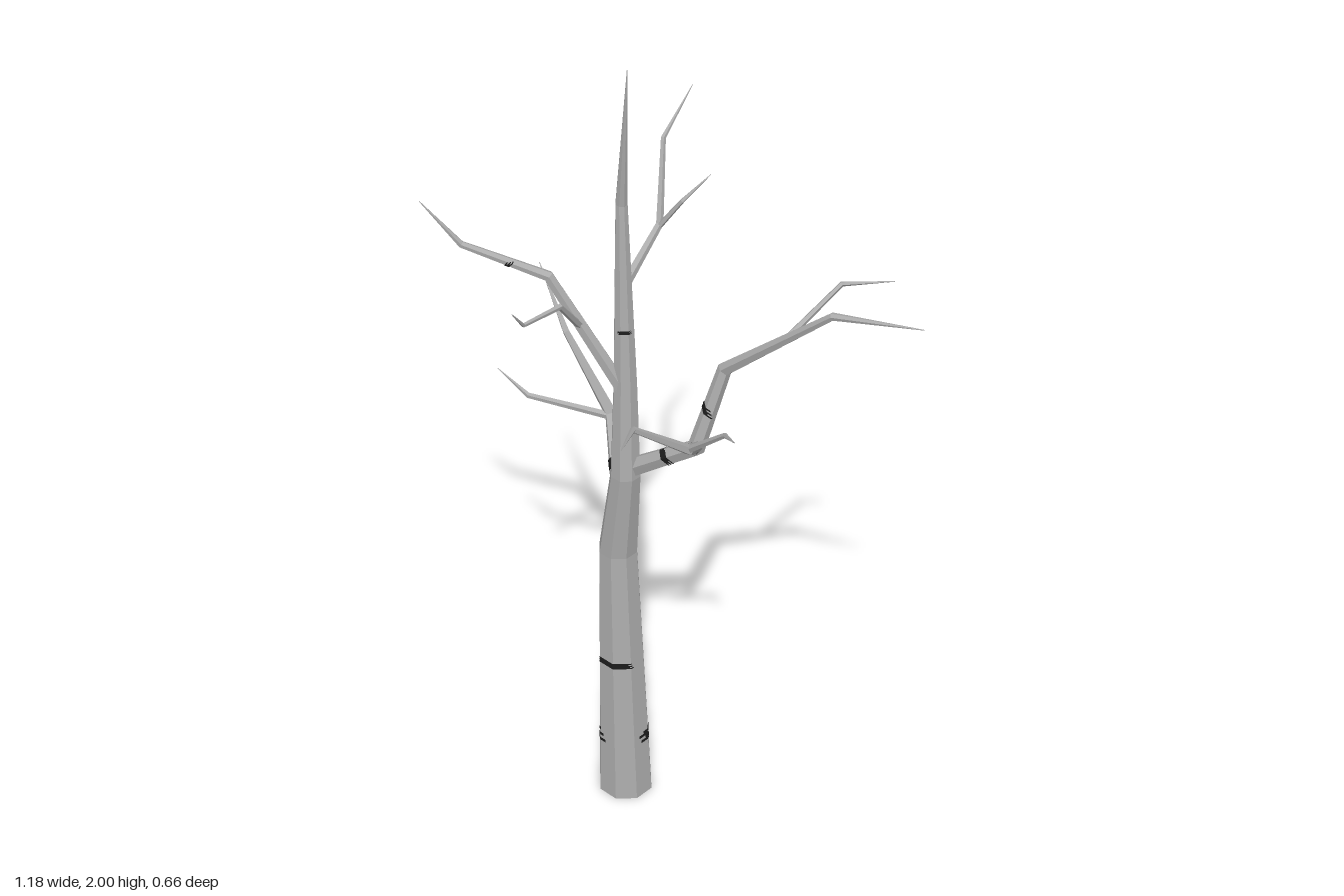
import * as THREE from 'three';

const bark = new THREE.MeshStandardMaterial({ color: 0xacacac });
bark.name = 'grey bark';
const dark = new THREE.MeshStandardMaterial({ color: 0x1c1c1c });
dark.name = 'dark bark';

const UP = new THREE.Vector3(0, 1, 0);
const TAU = Math.PI * 2;
const rad = THREE.MathUtils.degToRad;

// A limb is a list of [x, y, z, radius] rings; upright limbs keep level rings
function makeLimb(rings, sides, upright = false) {
  const centers = rings.map(r => new THREE.Vector3(r[0], r[1], r[2]));
  const frames = centers.map((c, i) => {
    const before = centers[Math.max(i - 1, 0)];
    const after = centers[Math.min(i + 1, centers.length - 1)];
    const dir = upright ? UP : after.clone().sub(before).normalize();
    return new THREE.Quaternion().setFromUnitVectors(UP, dir);
  });
  return { rings, centers, frames, sides };
}

// Point on the faceted side of ring i at an angle (+x = 0, +z = 90 degrees)
function ringPoint(limb, i, angle, lift = 0) {
  const step = TAU / limb.sides;
  const local = (((angle - step / 2) % step) + step) % step;
  const r = limb.rings[i][3] * Math.cos(step / 2) / Math.cos(local - step / 2) + lift;
  return new THREE.Vector3(Math.cos(angle) * r, 0, Math.sin(angle) * r)
    .applyQuaternion(limb.frames[i]).add(limb.centers[i]);
}

function surfacePoint(limb, s, angle, lift) {
  const i = Math.min(Math.floor(s), limb.rings.length - 2);
  return ringPoint(limb, i, angle, lift).lerp(ringPoint(limb, i + 1, angle, lift), s - i);
}

function facetMesh(points, material, name) {
  const geometry = new THREE.BufferGeometry().setFromPoints(points);
  geometry.computeVertexNormals();
  const mesh = new THREE.Mesh(geometry, material);
  mesh.name = name;
  return mesh;
}

function limbMesh(limb, name) {
  const points = [];
  const step = TAU / limb.sides;
  for (let j = 0; j < limb.sides; j++) {
    const a = (j + 0.5) * step, b = a + step;
    points.push(limb.centers[0], ringPoint(limb, 0, a), ringPoint(limb, 0, b));
    for (let i = 0; i < limb.rings.length - 1; i++) {
      const p = ringPoint(limb, i, a), q = ringPoint(limb, i, b);
      const u = ringPoint(limb, i + 1, a), v = ringPoint(limb, i + 1, b);
      points.push(p, u, q, q, u, v);
    }
  }
  return facetMesh(points, bark, name);
}

// Thin bark mark: stacked strips with ragged ends
function markMesh(limb, s, height, from, to, ragged) {
  const points = [], rows = 5, cols = 36;
  for (let k = 0; k < rows; k++) {
    const s0 = s + (k / rows - 0.5) * height, s1 = s0 + height / rows;
    const a0 = rad(from + ragged * ((k * 3) % 5) / 4);
    const a1 = rad(to - ragged * ((k * 2 + 1) % 5) / 4);
    for (let j = 0; j < cols; j++) {
      const a = a0 + (a1 - a0) * j / cols, b = a0 + (a1 - a0) * (j + 1) / cols;
      const p = surfacePoint(limb, s0, a, 0.0015), q = surfacePoint(limb, s0, b, 0.0015);
      const u = surfacePoint(limb, s1, a, 0.0015), v = surfacePoint(limb, s1, b, 0.0015);
      points.push(p, u, q, q, u, v);
    }
  }
  return facetMesh(points, dark, 'barkMark');
}

export function createModel() {
  const tree = new THREE.Group();
  tree.name = 'bareTree';

  const limbs = {
    trunk: makeLimb([
      [-0.105, 0, -0.037, 0.068], [-0.123, 0.72, -0.035, 0.047], [-0.085, 0.96, -0.022, 0.036],
      [-0.09, 1.2, -0.028, 0.028], [-0.105, 1.65, -0.035, 0.014], [-0.053, 2, 0, 0.0008]], 8, true),

    // Left bough
    leftBough: makeLimb([
      [-0.085, 0.97, -0.03, 0.024], [0.095, 1.1, -0.06, 0.021], [0.13, 1.3, -0.11, 0.017],
      [0.39, 1.53, -0.15, 0.009], [0.59, 1.56, -0.203, 0.0008]], 6),
    leftBackTwig: makeLimb([
      [0.285, 1.44, -0.135, 0.008], [0.312, 1.52, -0.273, 0.006], [0.405, 1.538, -0.335, 0.0008]], 5),
    leftFrontBranch: makeLimb([
      [0.095, 1.1, -0.06, 0.016], [0.18, 1.195, 0.057, 0.012],
      [0.15, 1.307, 0.2, 0.007], [0.237, 1.36, 0.328, 0.0008]], 5),
    leftFrontTwig: makeLimb([
      [0.178, 1.195, 0.057, 0.009], [0.295, 1.297, 0.073, 0.006], [0.36, 1.33, 0.115, 0.0008]], 5),

    // Low right bough
    lowRightBough: makeLimb([
      [-0.12, 0.78, -0.045, 0.02], [-0.305, 0.927, -0.203, 0.015],
      [-0.43, 1.11, -0.184, 0.008], [-0.59, 1.2, -0.258, 0.0008]], 6),
    lowRightTwig: makeLimb([
      [-0.3, 0.925, -0.2, 0.01], [-0.483, 0.945, -0.106, 0.007], [-0.573, 0.988, -0.093, 0.0008]], 5),

    // Upper right bough
    highRightBough: makeLimb([
      [-0.092, 1.19, -0.02, 0.018], [-0.215, 1.475, 0.08, 0.013],
      [-0.362, 1.545, 0.196, 0.008], [-0.42, 1.655, 0.258, 0.0008]], 6),
    highRightTwig: makeLimb([
      [-0.163, 1.345, 0.033, 0.009], [-0.135, 1.453, 0.126, 0.007],
      [-0.125, 1.466, 0.245, 0.005], [-0.11, 1.522, 0.292, 0.0008]], 5),

    // Upper back bough
    backBough: makeLimb([
      [-0.1, 1.44, -0.03, 0.012], [-0.116, 1.54, -0.165, 0.009],
      [-0.157, 1.715, -0.22, 0.006], [-0.169, 1.798, -0.326, 0.0008]], 5),
    backTwig: makeLimb([
      [-0.115, 1.535, -0.162, 0.007], [-0.065, 1.61, -0.182, 0.005], [-0.033, 1.665, -0.238, 0.0008]], 5),
  };
  for (const [name, limb] of Object.entries(limbs)) tree.add(limbMesh(limb, name));

  // limb, place along it, height, start and end angle, raggedness
  const marks = [
    ['trunk', 0.25, 0.055, 95, 368, 28],
    ['trunk', 0.567, 0.022, 15, 133, 14],
    ['trunk', 0.965, 0.022, 185, 300, 25],
    ['trunk', 2.15, 0.03, 190, 280, 25],
    ['trunk', 3.32, 0.02, 0, 90, 20],
    ['leftBough', 0.62, 0.08, 0, 200, 60],
    ['leftBough', 1.5, 0.08, 20, 230, 60],
    ['leftFrontBranch', 0.45, 0.09, 0, 220, 60],
    ['lowRightBough', 0.55, 0.1, 0, 270, 50],
    ['highRightBough', 1.45, 0.06, 0, 180, 60],
  ];
  for (const [name, ...rest] of marks) tree.add(markMesh(limbs[name], ...rest));
  return tree;
}
